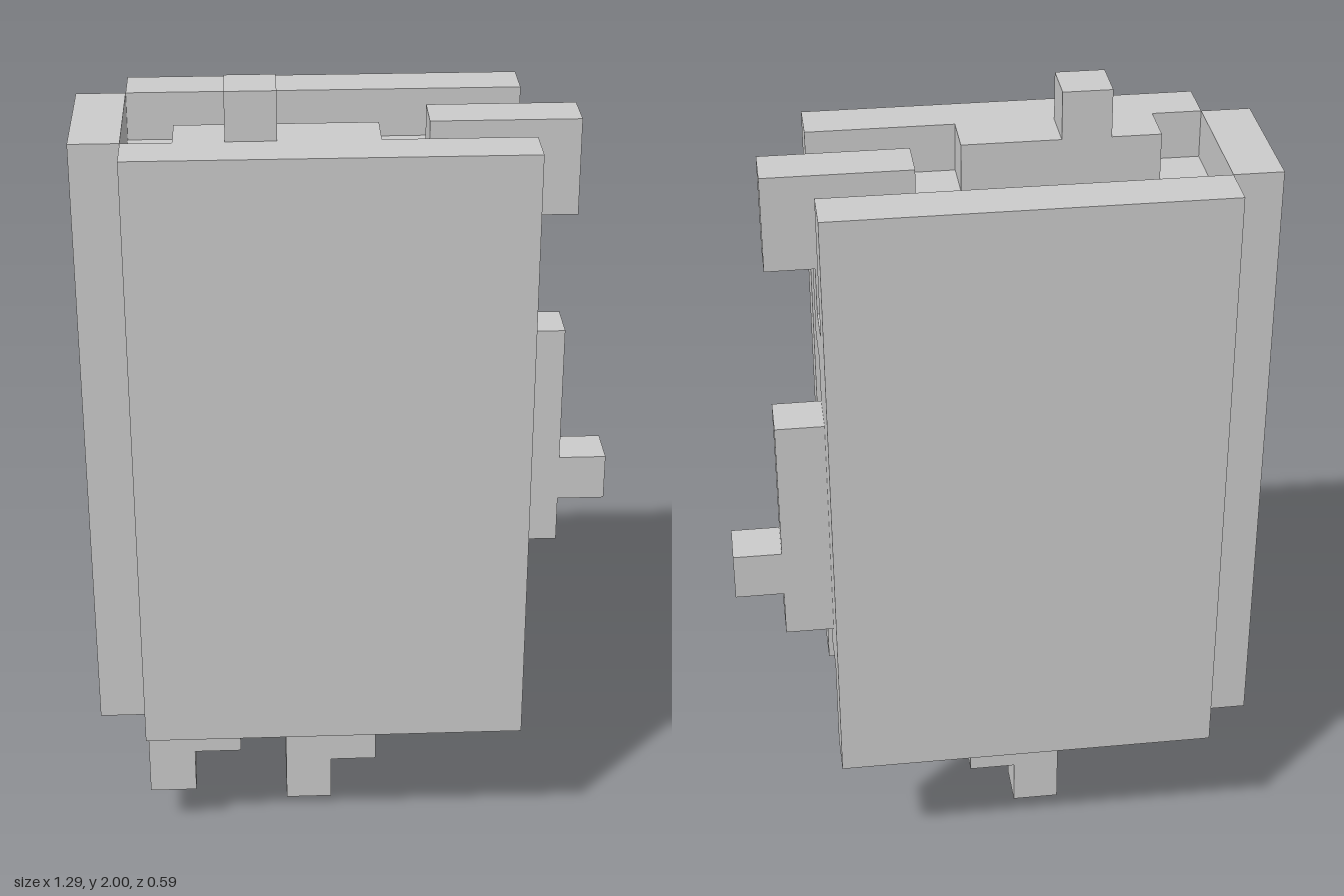
import * as THREE from 'three';

// Everything sits on a block grid of 11 x 17 x 5 cells.
const U = 2 / 17;
const material = new THREE.MeshStandardMaterial({ color: 0xcccccc, flatShading: true });

// Box spanning grid lines [x0, x1], [y0, y1], [z0, z1].
function block(name, [x0, x1], [y0, y1], [z0, z1]) {
  const geometry = new THREE.BoxGeometry((x1 - x0) * U, (y1 - y0) * U, (z1 - z0) * U);
  const mesh = new THREE.Mesh(geometry, material);
  mesh.position.set(((x0 + x1) / 2 - 5.5) * U, ((y0 + y1) / 2) * U, ((z0 + z1) / 2 - 2.5) * U);
  mesh.name = name;
  return mesh;
}

function part(name, ...meshes) {
  const group = new THREE.Group();
  group.name = name;
  group.add(...meshes);
  return group;
}

export function createModel() {
  const book = new THREE.Group();
  book.name = 'book';

  // Binding and page block
  book.add(
    block('backCover', [1, 9], [3, 16], [0, 1]),
    block('frontCover', [1, 9], [3, 16], [4, 5]),
    block('spine', [0, 1], [3, 16], [1, 4]),
    block('pages', [1, 8], [4, 15], [1, 4]),
  );

  // Loose sheet standing out of the top
  book.add(part('topSheet',
    block('topSheetStrip', [2, 6], [15, 16], [3, 4]),
    block('topSheetTip', [3, 4], [16, 17], [3, 4]),
  ));

  // Sheet folded over the upper fore-edge corner
  book.add(part('cornerSheet',
    block('cornerSheetTop', [7, 10], [15, 16], [2, 3]),
    block('cornerSheetTab', [8, 10], [14, 15], [2, 3]),
    block('cornerSheetLower', [8, 9], [12, 14], [2, 3]),
  ));

  // Ragged sheet along the fore edge
  book.add(part('sideSheet',
    block('sideSheetBase', [8, 9], [5, 13], [1, 2]),
    block('sideSheetTab', [9, 10], [6, 11], [1, 2]),
    block('sideSheetTip', [10, 11], [7, 8], [1, 2]),
    block('sideScrap', [8, 9], [7, 8], [2, 3]),
  ));

  // Two ragged sheets hanging from the bottom: [left x, tip y, z]
  for (const [name, x, y, z, top] of [['leftBottomSheet', 4, 0, 2, 4], ['rightBottomSheet', 1, 1, 3, 4]]) {
    book.add(part(name,
      block(name + 'Base', [x, x + 2], [y + 1, top], [z, z + 1]),
      block(name + 'Tip', [x, x + 1], [y, y + 1], [z, z + 1]),
    ));
  }

  return book;
}
